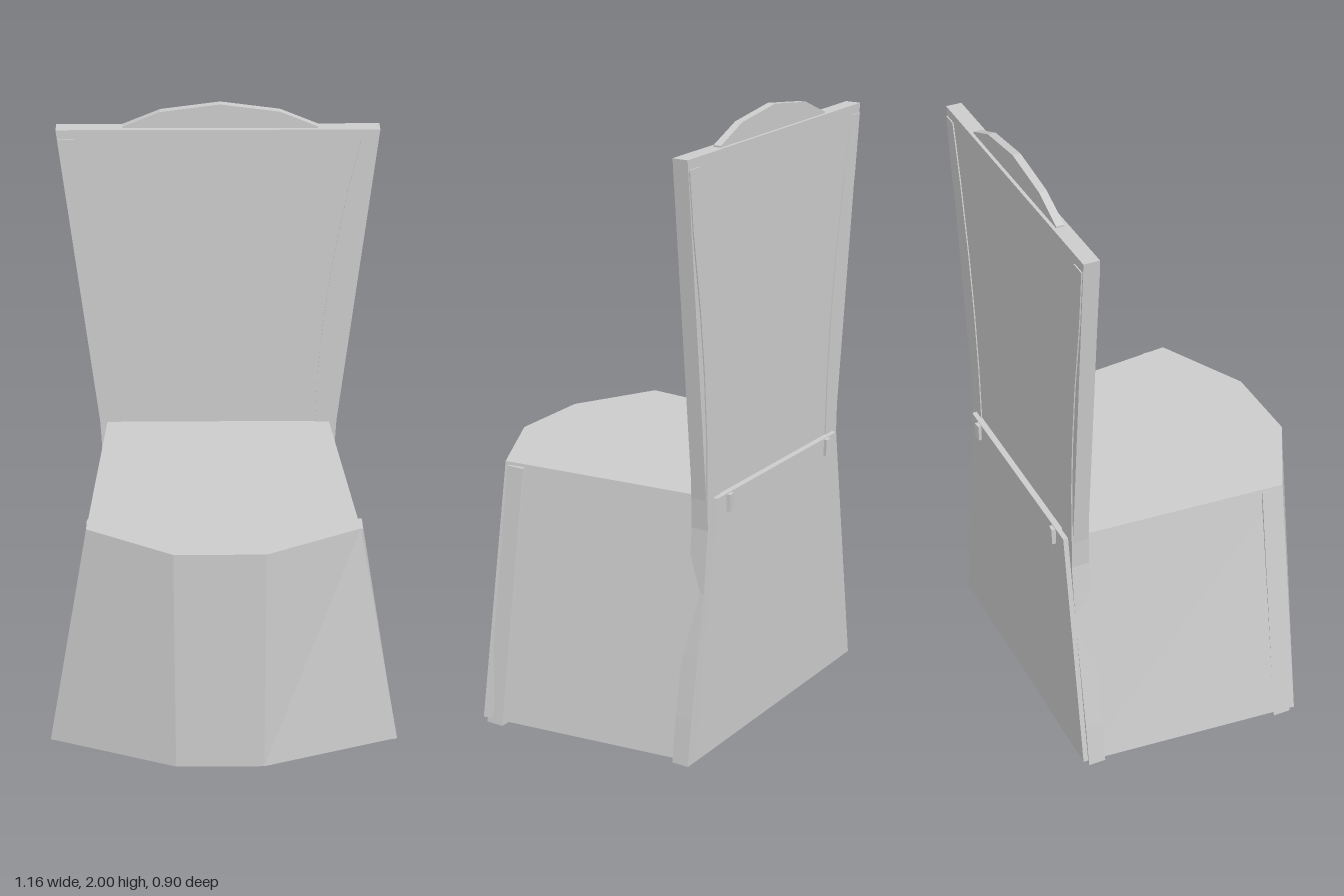
import * as THREE from 'three';

const MID = -0.017; // the back is centred slightly off the axis
const material = new THREE.MeshStandardMaterial({ color: 0xcccccc, flatShading: true });

// Skins convex horizontal rings [y, [[x, z], ...]], listed bottom to top,
// each counter-clockwise as seen from above, and caps both ends.
function loft(rings) {
  const n = rings[0][1].length;
  const pos = [];
  const index = [];
  for (const [y, pts] of rings) for (const [x, z] of pts) pos.push(x, y, z);
  for (let r = 0; r < rings.length - 1; r++) {
    for (let j = 0; j < n; j++) {
      const a = r * n + j, b = r * n + (j + 1) % n;
      index.push(a, b, b + n, a, b + n, a + n);
    }
  }
  const top = (rings.length - 1) * n;
  for (let j = 1; j < n - 1; j++) {
    index.push(0, j + 1, j);
    index.push(top, top + j, top + j + 1);
  }
  const indexed = new THREE.BufferGeometry();
  indexed.setAttribute('position', new THREE.Float32BufferAttribute(pos, 3));
  indexed.setIndex(index);
  const geometry = indexed.toNonIndexed();
  geometry.computeVertexNormals();
  return geometry;
}

// Rectangular ring between two x values and two z values
function rect(xa, xb, z0, z1) {
  const x0 = Math.min(xa, xb), x1 = Math.max(xa, xb);
  return [[x1, z1], [x1, z0], [x0, z0], [x0, z1]];
}

export function createModel() {
  const model = new THREE.Group();
  model.name = 'coveredChair';
  const add = (name, geometry) => {
    const mesh = new THREE.Mesh(geometry, material);
    mesh.name = name;
    model.add(mesh);
    return mesh;
  };

  // Cloth skirt and seat: six-sided, flaring at the sides, upright at front and back
  add('seatSkirt', loft([
    [0.015, [[0.13, 0.45], [0.577, 0.303], [0.477, -0.44], [-0.515, -0.44], [-0.58, 0.303], [-0.16, 0.45]]],
    [0.85, [[0.13, 0.45], [0.43, 0.303], [0.352, -0.44], [-0.39, -0.44], [-0.437, 0.303], [-0.16, 0.45]]],
  ]));

  // Back cover, wider at the top
  add('backPanel', loft([
    [0.83, rect(MID - 0.4, MID + 0.4, -0.42, -0.369)],
    [1.92, rect(MID - 0.515, MID + 0.515, -0.42, -0.369)],
  ]));

  // Arched crest above the back cover
  const arch = new THREE.Shape([
    [-0.32, 1.9], [0.3, 1.9], [0.3, 1.925], [0.18, 1.975], [-0.01, 2], [-0.2, 1.975], [-0.32, 1.925],
  ].map(([x, y]) => new THREE.Vector2(x, y)));
  const crest = new THREE.ExtrudeGeometry(arch, { depth: 0.025, bevelEnabled: false });
  add('crest', crest.translate(0, 0, -0.409));

  // Curved rear posts: [y, inner x, outer x]
  const postProfile = [
    [0, 0.435, 0.506], [0.15, 0.42, 0.486], [0.35, 0.385, 0.453], [0.55, 0.35, 0.418],
    [0.75, 0.333, 0.398], [0.85, 0.33, 0.402], [1.05, 0.335, 0.405], [1.25, 0.35, 0.42],
    [1.45, 0.374, 0.444], [1.7, 0.416, 0.486], [1.89, 0.456, 0.508],
  ];
  for (const side of [1, -1]) {
    const label = side > 0 ? 'left' : 'right';
    add(label + 'RearPost', loft(postProfile.map(([y, inner, outer]) =>
      [y, rect(MID + side * inner, MID + side * outer, -0.424, -0.366)])));

    // Splayed front legs inside the skirt
    add(label + 'FrontLeg', loft([
      [0, rect(side * 0.45, side * 0.575, 0.23, 0.29)],
      [0.84, rect(side * 0.39, side * 0.438, 0.23, 0.29)],
    ]));

    // Seat rail ends showing through the back of the skirt
    const rail = add(label + 'RailEnd', new THREE.BoxGeometry(0.025, 0.055, 0.05));
    rail.position.set(MID + side * 0.305, 0.82, -0.427);
    rail.rotation.y = side * 0.12;
  }
  return model;
}
